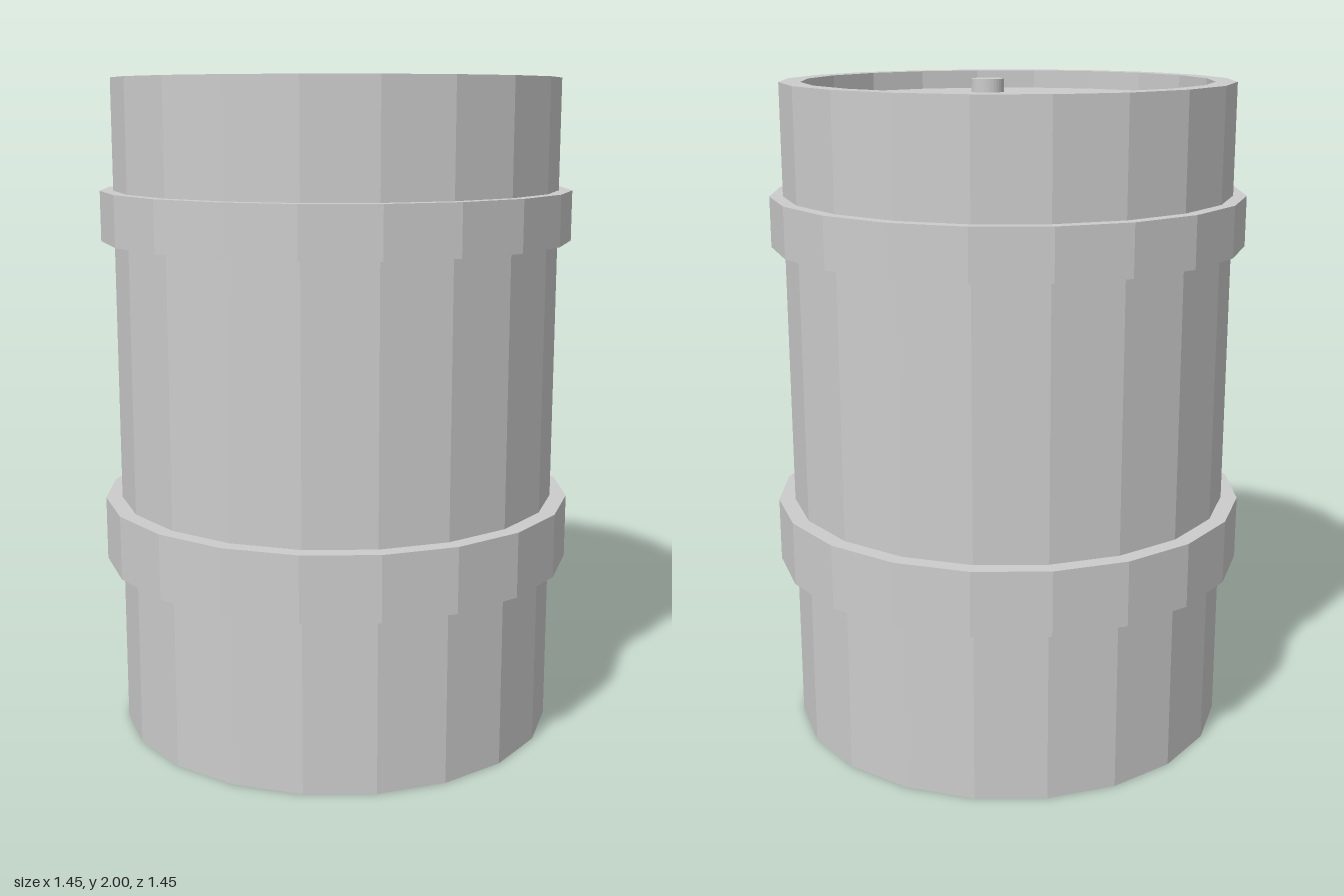
import * as THREE from 'three';

const SIDES = 20;
const material = new THREE.MeshStandardMaterial({ color: 0xcccccc, flatShading: true });

// Faceted solid of revolution from [radius, y] pairs, listed bottom to top along the outside
function turned(name, profile, sides = SIDES) {
  const points = profile.map(([r, y]) => new THREE.Vector2(r, y));
  const geometry = new THREE.LatheGeometry(points, sides).toNonIndexed();
  geometry.computeVertexNormals();
  const mesh = new THREE.Mesh(geometry, material);
  mesh.name = name;
  return mesh;
}

// Raised hoop wrapped around the drum wall
function hoop(name, radius, bottom, top) {
  const inner = 0.66;
  return turned(name, [[inner, bottom], [radius, bottom], [radius, top], [inner, top]]);
}

export function createModel() {
  const barrel = new THREE.Group();
  barrel.name = 'barrel';

  const outer = 0.675, rim = 0.612, recess = 0.057, height = 2;

  // Drum with recessed lid and base
  barrel.add(turned('drum', [
    [0, recess], [rim, recess], [rim, 0], [outer, 0],
    [outer, height], [rim, height], [rim, height - recess], [0, height - recess],
  ]));

  // Reinforcing hoops
  barrel.add(hoop('lowerHoop', 0.725, 0.53, 0.725));
  barrel.add(hoop('upperHoop', 0.715, 1.52, 1.67));

  // Filler cap near the front of the lid
  const cap = turned('fillerCap', [[0.053, 0], [0.053, 0.042], [0, 0.042]], 32);
  cap.position.set(0, height - recess, 0.39);
  barrel.add(cap);

  return barrel;
}
